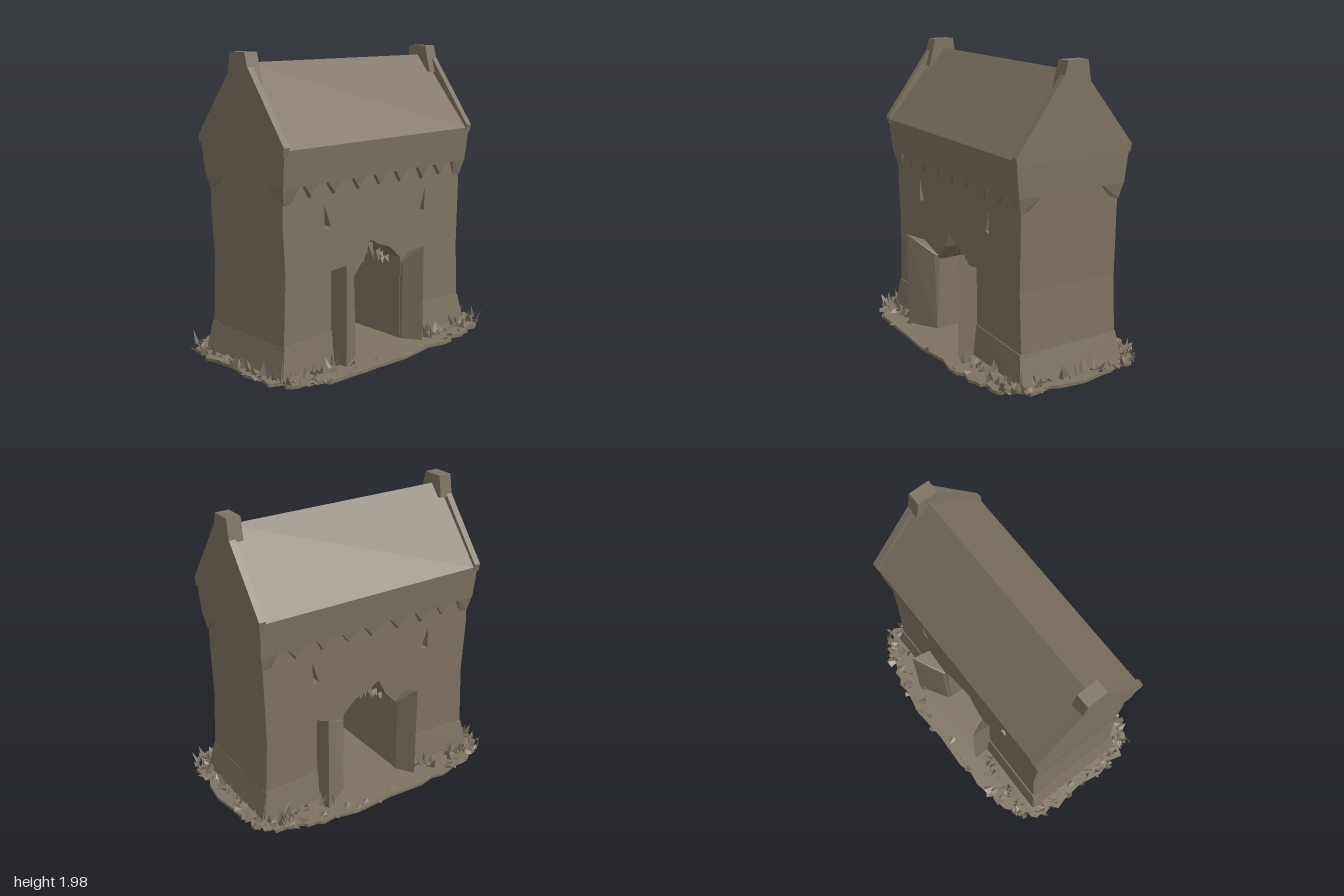
import * as THREE from 'three';
import { ConvexGeometry } from 'three/addons/geometries/ConvexGeometry.js';
import { mergeGeometries } from 'three/addons/utils/BufferGeometryUtils.js';

export function createModel() {
  const model = new THREE.Group();
  model.name = 'gatehouse';
  const stone = new THREE.MeshStandardMaterial({ color: 0x7d7363, side: THREE.DoubleSide });
  stone.name = 'weathered stone';

  let seed = 11;
  const rnd = (a = 0, b = 1) => {
    seed = (seed * 16807) % 2147483647;
    return a + (b - a) * (seed / 2147483647);
  };
  const add = (parent, name, geometry) => {
    const mesh = new THREE.Mesh(geometry, stone);
    mesh.name = name;
    parent.add(mesh);
    return mesh;
  };
  const hull = (pts) => new ConvexGeometry(pts.map((p) => new THREE.Vector3(...p)));
  const rect = (x, y, z) => [[-x, y, -z], [x, y, -z], [x, y, z], [-x, y, z]];
  const poly = (Type, pts) => new Type(pts.map((p) => new THREE.Vector2(...p)));
  // thin triangles gathered into one geometry
  const triangles = (list) => {
    const g = new THREE.BufferGeometry();
    g.setAttribute('position', new THREE.Float32BufferAttribute(list.flat(2), 3));
    g.computeVertexNormals();
    return g;
  };

  // Walls with the arched passage and two ragged loopholes
  const wall = poly(THREE.Shape, [[-0.83, 0.02], [0.83, 0.02], [0.81, 0.22], [0.79, 0.6],
    [0.8, 1.1], [0.8, 1.25], [-0.8, 1.25], [-0.81, 1.0], [-0.79, 0.65], [-0.81, 0.22]]);
  wall.holes.push(
    poly(THREE.Path, [[-0.22, 0.03], [-0.24, 0.53], [-0.13, 0.65], [-0.07, 0.77], [0, 0.73],
      [0.11, 0.69], [0.21, 0.6], [0.21, 0.03]]),
    poly(THREE.Path, [[-0.475, 0.9], [-0.475, 1.06], [-0.42, 0.91]]),
    poly(THREE.Path, [[0.4, 0.9], [0.445, 1.05], [0.445, 0.89]]));
  const walls = new THREE.ExtrudeGeometry(wall, { depth: 0.72, bevelEnabled: false });
  add(model, 'walls', walls.translate(0, 0, -0.36));

  // Overhanging upper storey
  add(model, 'upperStorey', hull([...rect(0.825, 1.2, 0.39), ...rect(0.835, 1.43, 0.415)]));

  // Roof between the gables
  add(model, 'roof', hull([[-0.8, 1.43, 0.415], [-0.8, 1.43, -0.415], [-0.8, 1.92, 0],
    [0.8, 1.43, 0.415], [0.8, 1.43, -0.415], [0.8, 1.92, 0]]));

  // Gable copings and ridge posts
  for (const s of [-1, 1]) {
    const gable = [];
    for (const x of [0.8, 0.845]) {
      for (const [y, z] of [[1.4, 0.415], [1.45, 0.425], [1.9, 0.095], [1.94, 0],
        [1.89, -0.07], [1.45, -0.425], [1.4, -0.415]]) gable.push([s * x, y, z]);
    }
    add(model, 'gableCoping', hull(gable));
    const post = [];
    for (const x of [0.75, 0.845]) {
      for (const [y, z] of [[1.8, 0.12], [1.985, 0.07], [1.985, -0.075], [1.84, -0.1]]) post.push([s * x, y, z]);
    }
    add(model, 'ridgePost', hull(post));
  }

  // Details shared by the front and the back (turned half round)
  const makeFace = (name) => {
    const face = new THREE.Group();
    face.name = name;
    // pointed corbels under the overhang
    for (let i = -3; i <= 3; i++) {
      const x = i * 0.195 + rnd(-0.015, 0.015), w = rnd(0.05, 0.075);
      add(face, 'corbel', hull([[x - w, 1.21, 0.35], [x + w, 1.21, 0.35], [x - w, 1.21, 0.39],
        [x + w, 1.21, 0.39], [x, rnd(1.1, 1.13), 0.355], [x, 1.13, 0.38]]));
    }
    for (const s of [-1, 1]) {
      // corner brackets
      add(face, 'cornerBracket', hull([[s * 0.7, 1.21, 0.35], [s * 0.7, 1.21, 0.39],
        [s * 0.825, 1.21, 0.39], [s * 0.825, 1.21, 0.22], [s * 0.78, 1.21, 0.22],
        [s * 0.78, 1.09, 0.35], [s * 0.805, 1.1, 0.365], [s * 0.8, 1.12, 0.3], [s * 0.74, 1.1, 0.36]]));
      // splayed wing wall beside the passage
      const [inner, outer] = s < 0 ? [-0.22, -0.42] : [0.215, 0.29];
      add(face, 'wingWall', hull([[inner, 0.02, 0.35], [outer, 0.02, 0.35], [outer, 0.02, 0.5],
        [inner, 0.02, 0.38], [inner, 0.56, 0.35], [outer, 0.62, 0.35], [outer, 0.69, 0.5],
        [inner - (s < 0 ? 0.02 : 0), 0.57, 0.38]]));
      // sloping plinth
      add(face, 'plinth', hull([[outer, 0.02, 0.3], [s * 0.85, 0.02, 0.3], [s * 0.85, 0.02, 0.395],
        [outer, 0.02, 0.39], [outer, 0.23, 0.3], [s * 0.812, 0.215, 0.3],
        [s * 0.812, 0.215, 0.368], [outer, 0.235, 0.366]]));
    }
    // broken gate teeth hanging in the arch
    const teeth = [];
    for (let i = 0; i < 11; i++) {
      const x = -0.2 + i * 0.038, top = 0.73 - Math.abs(x + 0.02) * 0.75;
      const z = rnd(0.2, 0.3), tip = rnd(0.5, 0.56) + 0.1 * (1 - Math.abs(x) / 0.2);
      teeth.push([[x - 0.022, top, z], [x + rnd(-0.02, 0.02), Math.min(tip, top - 0.04), z + 0.02], [x + 0.022, top + 0.01, z]]);
    }
    add(face, 'gateTeeth', triangles(teeth));
    model.add(face);
    return face;
  };
  makeFace('frontDetails');
  makeFace('backDetails').rotation.y = Math.PI;

  // Sloping end plinths
  for (const s of [-1, 1]) {
    add(model, 'endPlinth', hull([[s * 0.78, 0.02, -0.385], [s * 0.78, 0.02, 0.385],
      [s * 0.86, 0.02, -0.385], [s * 0.86, 0.02, 0.385], [s * 0.78, 0.21, -0.36],
      [s * 0.78, 0.21, 0.36], [s * 0.812, 0.21, -0.36], [s * 0.812, 0.21, 0.36]]));
  }

  // Ragged ground slab
  const rim = (a, k) => {
    const c = Math.cos(a), s = Math.sin(a);
    return [Math.sign(c) * Math.abs(c) ** 0.5 * 0.98 * k, Math.sign(s) * Math.abs(s) ** 0.5 * 0.63 * k];
  };
  const edge = [];
  for (let i = 0; i < 84; i++) edge.push(rim((i / 84) * Math.PI * 2, rnd(0.94, 1.01)));
  const ground = new THREE.ExtrudeGeometry(poly(THREE.Shape, edge), { depth: 0.02, bevelEnabled: false });
  add(model, 'ground', ground.rotateX(-Math.PI / 2).translate(0, 0.01, 0));

  // Flat stone chips round the rim
  const chips = [];
  for (let i = 0; i < 90; i++) {
    const [x, z] = rim(rnd(0, Math.PI * 2), rnd(0.88, 0.98));
    const a = rnd(0, 6.28), r = rnd(0.025, 0.05);
    const p = (t, y) => [x + r * Math.cos(a + t), y, z + r * Math.sin(a + t)];
    chips.push(hull([p(0, 0.025), p(2, 0.025), p(4, 0.025), p(1, rnd(0.035, 0.055))]));
  }
  add(model, 'stoneChips', mergeGeometries(chips));

  // Grass blades at the foot of the walls
  const blades = [];
  const blade = (x, z) => {
    const a = rnd(0, Math.PI), w = rnd(0.012, 0.03), h = rnd(0.05, 0.125);
    const dx = w * Math.cos(a), dz = w * Math.sin(a);
    blades.push([[x - dx, 0.025, z - dz], [x + dx, 0.025, z + dz],
      [x + rnd(-0.04, 0.04), h, z + rnd(-0.04, 0.04)]]);
  };
  for (const s of [-1, 1]) {
    for (let i = 0; i < 70; i++) blade((i % 2 ? 1 : -1) * rnd(0.34, 0.9), s * rnd(0.41, 0.52));
    for (let i = 0; i < 40; i++) blade(s * rnd(0.86, 0.94), rnd(-0.45, 0.45));
  }
  add(model, 'grass', triangles(blades));

  return model;
}
